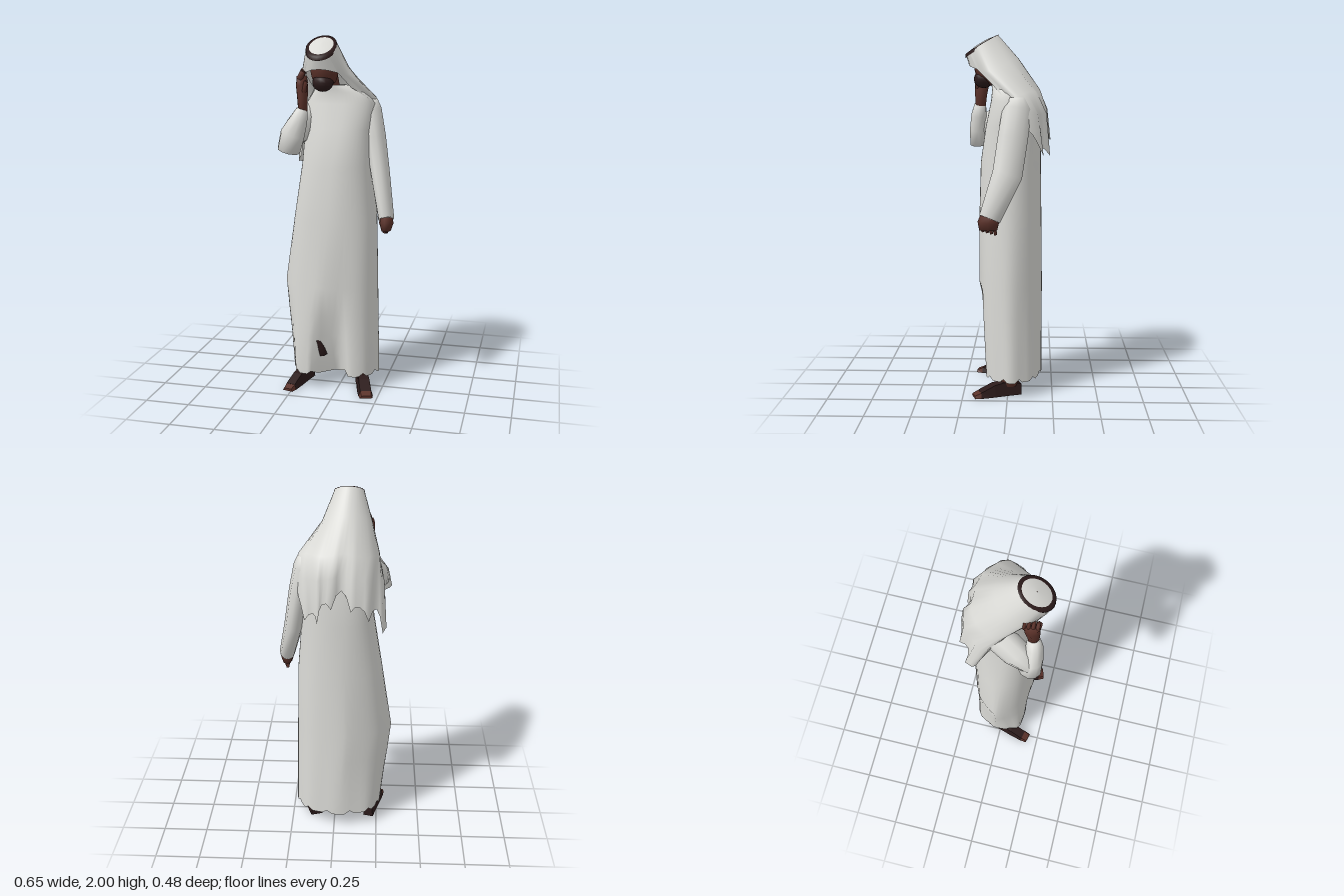
import * as THREE from 'three';

const V = (x, y, z) => new THREE.Vector3(x, y, z);
const material = (name, color) =>
  new THREE.MeshStandardMaterial({ name, color, side: THREE.DoubleSide });

// Skin a list of rows (arrays of Vector3 of equal length), lowest row first
function loft(rows, closed = true, caps = false) {
  const n = rows[0].length, pos = [], index = [];
  rows.forEach(r => r.forEach(p => pos.push(p.x, p.y, p.z)));
  for (let i = 0; i < rows.length - 1; i++) {
    for (let j = 0; j < (closed ? n : n - 1); j++) {
      const k = (j + 1) % n, a = i * n + j, b = i * n + k;
      index.push(a, a + n, b, b, a + n, b + n);
    }
  }
  if (caps) {
    [0, rows.length - 1].forEach((r, end) => {
      const c = rows[r].reduce((s, p) => s.add(p), V(0, 0, 0)).divideScalar(n);
      const id = pos.length / 3;
      pos.push(c.x, c.y, c.z);
      for (let j = 0; j < n; j++) {
        const a = r * n + j, b = r * n + (j + 1) % n;
        index.push(...(end ? [id, b, a] : [id, a, b]));
      }
    });
  }
  const g = new THREE.BufferGeometry();
  g.setAttribute('position', new THREE.Float32BufferAttribute(pos, 3));
  g.setIndex(index);
  g.computeVertexNormals();
  return g;
}

// Closed limb along stations [x, y, z, half width, half depth]
function limb(stations, sides = 10) {
  const at = i => V(...stations[Math.max(0, Math.min(stations.length - 1, i))].slice(0, 3));
  return loft(stations.map(([, , , rx, rz], i) => {
    const t = at(i + 1).sub(at(i - 1)).normalize();
    const u = V(1, 0, 0).addScaledVector(t, -t.x).normalize();
    const v = u.clone().cross(t);
    return Array.from({ length: sides }, (_, j) => {
      const a = j / sides * Math.PI * 2;
      return at(i).addScaledVector(u, rx * Math.cos(a)).addScaledVector(v, rz * Math.sin(a));
    });
  }), true, true);
}

// Robe: rings [y, xMin, xMax, zMin, zMax, roundness of right front, of right back];
// below 1 is boxy, above 1 is pointed
function robeGeometry() {
  const rings = [
    [0.09, -0.27, 0.225, -0.19, 0.148, 0.5, 0.9], [0.2, -0.28, 0.223, -0.19, 0.155, 0.6, 1],
    [0.32, -0.292, 0.221, -0.19, 0.16, 0.75, 1.1], [0.45, -0.308, 0.218, -0.19, 0.166, 0.95, 1.2],
    [0.62, -0.325, 0.215, -0.19, 0.17, 1.15, 1.25], [1.0, -0.265, 0.205, -0.185, 0.165, 0.9, 1],
    [1.3, -0.215, 0.18, -0.18, 0.155, 0.8, 0.85], [1.5, -0.2, 0.18, -0.18, 0.125, 0.8, 0.8],
    [1.64, -0.19, 0.19, -0.15, 0.095, 0.8, 0.8], [1.7, -0.15, 0.14, -0.11, 0.09, 0.8, 0.8],
    [1.74, -0.125, 0.035, -0.02, 0.095, 0.9, 0.9]];
  const N = 48, soft = (v, p) => Math.sign(v) * Math.abs(v) ** p;
  return loft(rings.map(([y, x0, x1, z0, z1, front, back], i) => Array.from({ length: N }, (_, j) => {
    const a = j / N * Math.PI * 2, low = Math.max(0, 1 - y / 1.1);
    const fold = 1 - 0.05 * low * (0.5 - 0.5 * Math.cos(a * 8));
    const left = y < 1.4 ? 0.98 : 0.8;
    const q = Math.cos(a) >= 0 ? left : Math.sin(a) > 0 ? front : back;
    const x = (x0 + x1) / 2 + (x1 - x0) / 2 * soft(Math.cos(a), q) * fold;
    let z = (z0 + z1) / 2 + (z1 - z0) / 2 * soft(Math.sin(a), q) * fold;
    // hollow between the legs at the front
    if (z > 0) z -= 0.14 * Math.max(0, 1 - y / 0.6) * Math.exp(-(((x + 0.03) / 0.08) ** 4));
    return V(x, i ? y : y + 0.02 * (j % 4 === 2), z);
  })));
}

// Tilted rim of the crown, s scales it; angle 0 is at the back
function crownPoint(angle, s = 1, lift = 0) {
  const z = 0.15 - 0.09 * s * Math.cos(angle);
  return V(-0.07 + 0.08 * s * Math.sin(angle), 2 - (z - 0.06) * 0.58 + lift, z);
}
const crownArc = (from, to, n, s, lift) => Array.from({ length: n }, (_, i) =>
  crownPoint(THREE.MathUtils.degToRad(from + (to - from) * i / (n - 1)), s, lift));
const crownRing = (s, lift) => crownArc(0, 345, 24, s, lift);

// Headcloth: rows from the ragged hem to the crown, right face edge round to left
function headclothGeometry() {
  const hem = [[-0.2, 1.56, 0], [-0.28, 1.27, -0.14], [-0.225, 1.39, -0.168], [-0.14, 1.42, -0.225],
    [-0.04, 1.5, -0.195], [0.06, 1.43, -0.215], [0.11, 1.37, -0.195], [0.19, 1.45, -0.14], [0.17, 1.62, 0]];
  const fall = [[-0.17, 1.66, 0.04], [-0.265, 1.52, -0.07], [-0.22, 1.56, -0.14], [-0.14, 1.58, -0.208],
    [-0.04, 1.6, -0.193], [0.05, 1.58, -0.206], [0.12, 1.57, -0.18], [0.19, 1.58, -0.11], [0.16, 1.67, 0.03]];
  const shoulder = [[-0.12, 1.72, 0.1], [-0.23, 1.67, 0.02], [-0.22, 1.67, -0.07], [-0.14, 1.69, -0.155],
    [-0.05, 1.71, -0.168], [0.05, 1.69, -0.163], [0.13, 1.69, -0.12], [0.19, 1.67, -0.04], [0.075, 1.73, 0.085]];
  const jaw = [[-0.155, 1.81, 0.17], [-0.195, 1.79, 0.1], [-0.185, 1.83, 0.03], [-0.13, 1.86, -0.03],
    [-0.06, 1.87, -0.055], [0.01, 1.86, -0.03], [0.055, 1.83, 0.03], [0.072, 1.8, 0.1], [0.025, 1.81, 0.17]];
  const crown = crownArc(-140, 140, 9);
  const N = 33, pleat = [0.022, 0.012, 0.004, 0, 0];
  return loft([hem, fall, shoulder, jaw, crown].map((row, r) => {
    const curve = new THREE.CatmullRomCurve3(row.map(p => (p.isVector3 ? p : V(...p))));
    return Array.from({ length: N }, (_, j) => {
      const p = curve.getPoint(j / (N - 1)), k = j % 4 === 2 ? 1 : j % 4 === 0 ? -0.3 : 0;
      p.z -= pleat[r] * k;
      if (r === 0) p.y -= 0.05 * k;
      return p;
    });
  }), false);
}

export function createModel() {
  const model = new THREE.Group();
  model.name = 'robedFigure';
  const white = material('whiteCloth', 0xdbdbd7);
  const skin = material('brownSkin', 0x5a3129);
  const dark = material('darkLeather', 0x2c1b1b);
  const add = (name, geometry, mat, parent = model) => {
    const m = new THREE.Mesh(geometry, mat);
    m.name = name;
    parent.add(m);
    return m;
  };

  // Clothing
  add('robe', robeGeometry(), white);
  add('headcloth', headclothGeometry(), white);
  const brow = [[0.025, 1.81, 0.17], [-0.02, 1.825, 0.21], [-0.065, 1.83, 0.22],
    [-0.11, 1.825, 0.21], [-0.155, 1.81, 0.17]].map(p => V(...p));
  add('browCloth', loft([brow, crownArc(140, 220, 5)], false), white);
  add('crownCloth', loft([crownRing(0.81, 0.002), crownRing(0.5, 0.01), crownRing(0.01, 0.013)]), white);
  add('headband', loft([crownRing(1.02, -0.02), crownRing(1.02, 0), crownRing(0.81, 0.002)]), dark);

  // Head
  const head = add('head', new THREE.SphereGeometry(1, 16, 12), skin);
  head.scale.set(0.074, 0.1, 0.08);
  head.position.set(-0.063, 1.82, 0.112);
  head.rotation.x = 0.3;
  add('neck', limb([[-0.04, 1.62, -0.02, 0.05, 0.05], [-0.05, 1.78, 0.04, 0.045, 0.045]]), skin);
  const beard = add('beard', new THREE.SphereGeometry(1, 12, 8), dark);
  beard.scale.set(0.058, 0.05, 0.056);
  beard.position.set(-0.065, 1.758, 0.14);

  // Sleeves: left hangs, right is bent up to the face
  add('leftSleeve', limb([[0.15, 1.66, -0.05, 0.045, 0.05], [0.15, 1.6, -0.05, 0.068, 0.08],
    [0.19, 1.45, -0.03, 0.058, 0.085], [0.225, 1.25, 0, 0.053, 0.085], [0.277, 1.02, 0.092, 0.044, 0.062]]), white);
  add('rightUpperSleeve', limb([[-0.15, 1.64, -0.08, 0.05, 0.04], [-0.178, 1.57, -0.02, 0.073, 0.088],
    [-0.222, 1.495, 0.09, 0.067, 0.092], [-0.247, 1.455, 0.18, 0.055, 0.057]]), white);
  add('rightForearmSleeve', limb([[-0.25, 1.39, 0.17, 0.063, 0.063], [-0.225, 1.48, 0.18, 0.068, 0.052],
    [-0.19, 1.56, 0.175, 0.05, 0.045], [-0.172, 1.615, 0.167, 0.032, 0.034]]), white);

  // Hands
  add('leftHand', limb([[0.275, 1.035, 0.09, 0.034, 0.05], [0.279, 1.0, 0.1, 0.04, 0.057],
    [0.278, 0.96, 0.1, 0.027, 0.048]], 8), skin);
  add('rightHand', limb([[-0.17, 1.59, 0.165, 0.024, 0.028], [-0.172, 1.67, 0.162, 0.029, 0.034],
    [-0.176, 1.74, 0.156, 0.033, 0.042], [-0.178, 1.79, 0.15, 0.028, 0.042]], 8), skin);
  for (let i = 0; i < 4; i++) {
    const d = i * 0.022;
    add('leftFinger', limb([[0.28, 0.975, 0.068 + d, 0.015, 0.012],
      [0.272, 0.935 + 0.006 * i, 0.06 + d, 0.009, 0.009]], 6), skin);
    add('rightFinger', limb([[-0.182, 1.775, 0.118 + d, 0.017, 0.012],
      [-0.174 + 0.004 * i, 1.828 - 0.004 * i, 0.118 + d, 0.015, 0.011]], 6), skin);
  }
  add('rightThumb', limb([[-0.16, 1.71, 0.18, 0.014, 0.014], [-0.144, 1.765, 0.19, 0.011, 0.011]], 6), skin);

  // Feet: wedge shoes turned outwards, with bare toes and ankles
  const section = ([z, w, h]) => [V(-w, 0, z), V(-w * 0.75, h, z), V(w * 0.75, h, z), V(w, 0, z)];
  for (const [side, x, turn, width] of [['left', 0.15, 0.32, 1], ['right', -0.235, -0.25, 0.85]]) {
    const foot = new THREE.Group();
    foot.name = side + 'Foot';
    foot.position.set(x, 0, 0.06);
    foot.rotation.y = turn;
    foot.scale.x = width;
    model.add(foot);
    const solid = (name, stations, mat) => add(name,
      loft(stations.map(section), true, true).toNonIndexed(), mat, foot).geometry.computeVertexNormals();
    solid('shoe', [[-0.135, 0.035, 0.06], [-0.06, 0.036, 0.08], [0.02, 0.041, 0.065], [0.1, 0.042, 0.03]], dark);
    solid('toes', [[0.1, 0.041, 0.029], [0.135, 0.036, 0.014]], skin);
    add('ankle', limb([[0, 0.05, -0.075, 0.038, 0.048], [0, 0.16, -0.075, 0.042, 0.05]], 8), skin, foot);
  }
  // Leg showing through the front opening
  add('shinOpening', limb([[-0.085, 0.2, 0.085, 0.026, 0.02], [-0.095, 0.25, 0.098, 0.022, 0.02],
    [-0.11, 0.3, 0.112, 0.008, 0.02]], 6), dark);

  return model;
}
